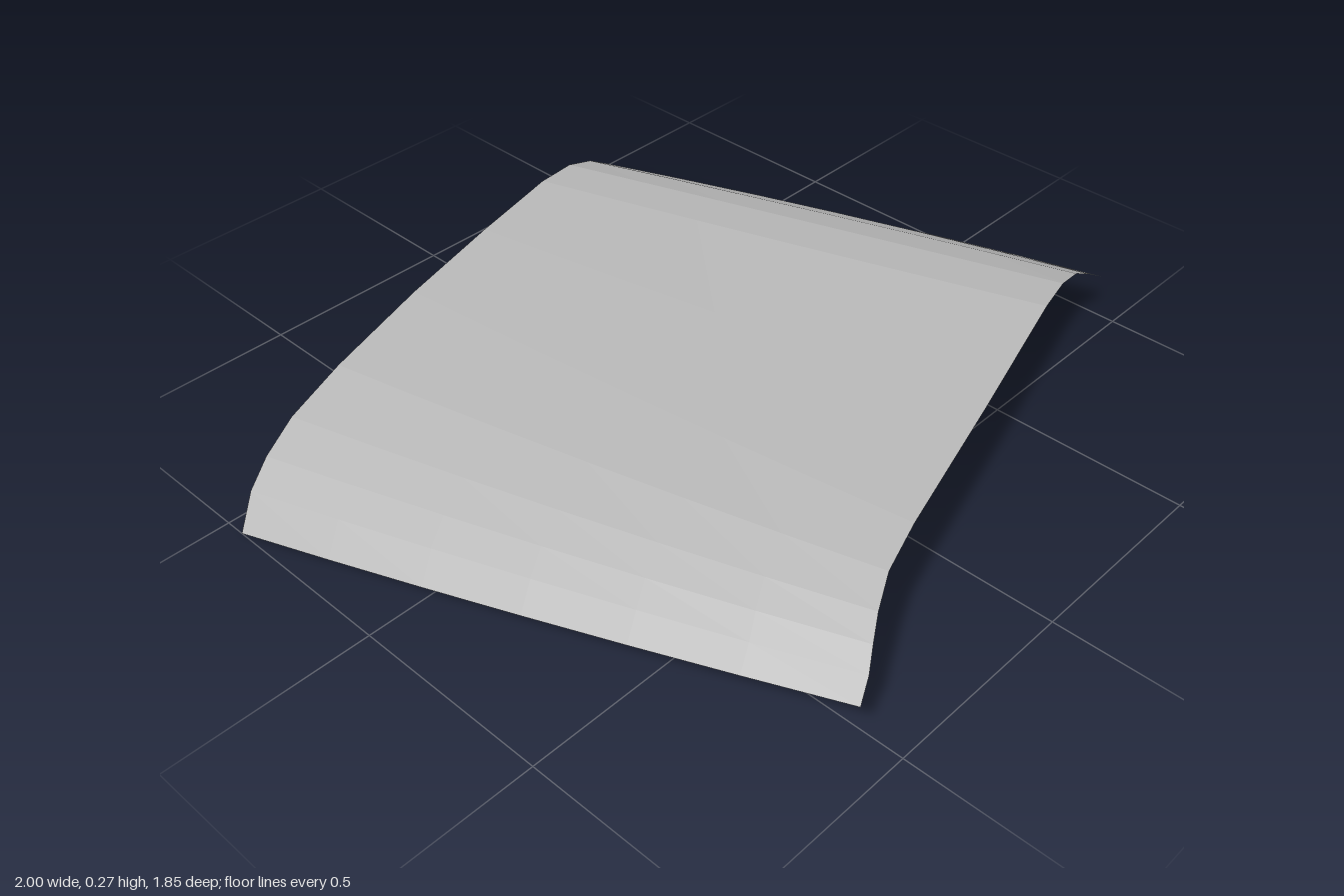
import * as THREE from 'three';

// Arched edges of the sheet, left to right, as [x, y, z]
const BACK = [
  [-1, 0.005, -0.45], [-0.94, 0.07, -0.485], [-0.87, 0.11, -0.515], [-0.77, 0.145, -0.55],
  [-0.6, 0.175, -0.595], [-0.3, 0.188, -0.685], [0, 0.19, -0.77], [0.27, 0.185, -0.845],
  [0.4, 0.165, -0.88], [0.5, 0.125, -0.905], [0.58, 0.075, -0.92], [0.66, 0.005, -0.93],
];
const FRONT = [
  [-0.54, 0.12, 0.92], [-0.5, 0.165, 0.905], [-0.46, 0.2, 0.88], [-0.41, 0.23, 0.85],
  [-0.33, 0.255, 0.81], [-0.2, 0.27, 0.77], [0.2, 0.273, 0.655], [0.6, 0.275, 0.535],
  [0.73, 0.255, 0.495], [0.84, 0.215, 0.465], [0.92, 0.17, 0.455], [1, 0.12, 0.45],
];
const ROWS = 6;

// Loft between the two edges, with the sides bowed outward and the crown sagging a little
function loft(back, front) {
  const pos = [], index = [], n = back.length;
  for (let r = 0; r <= ROWS; r++) {
    const t = r / ROWS, bow = 4 * t * (1 - t);
    for (let i = 0; i < n; i++) {
      const p = new THREE.Vector3(...back[i]).lerp(new THREE.Vector3(...front[i]), t);
      const s = (2 * i) / (n - 1) - 1;
      p.x += 0.018 * s * bow;
      p.y += (0.015 * s * s - 0.008) * bow;
      pos.push(p.x, p.y, p.z);
      if (r < ROWS && i < n - 1) {
        const a = r * n + i, c = a + n;
        index.push(a, c, a + 1, a + 1, c, c + 1);
      }
    }
  }
  const geo = new THREE.BufferGeometry();
  geo.setAttribute('position', new THREE.Float32BufferAttribute(pos, 3));
  geo.setIndex(index);
  geo.computeVertexNormals();
  return geo;
}

export function createModel() {
  const grey = new THREE.MeshStandardMaterial({ color: 0xb8b8b8, flatShading: true, side: THREE.DoubleSide });
  grey.name = 'plain grey';

  const group = new THREE.Group();
  group.name = 'archedPanel';
  const sheet = new THREE.Mesh(loft(BACK, FRONT), grey);
  sheet.name = 'curvedSheet';
  group.add(sheet);
  return group;
}
